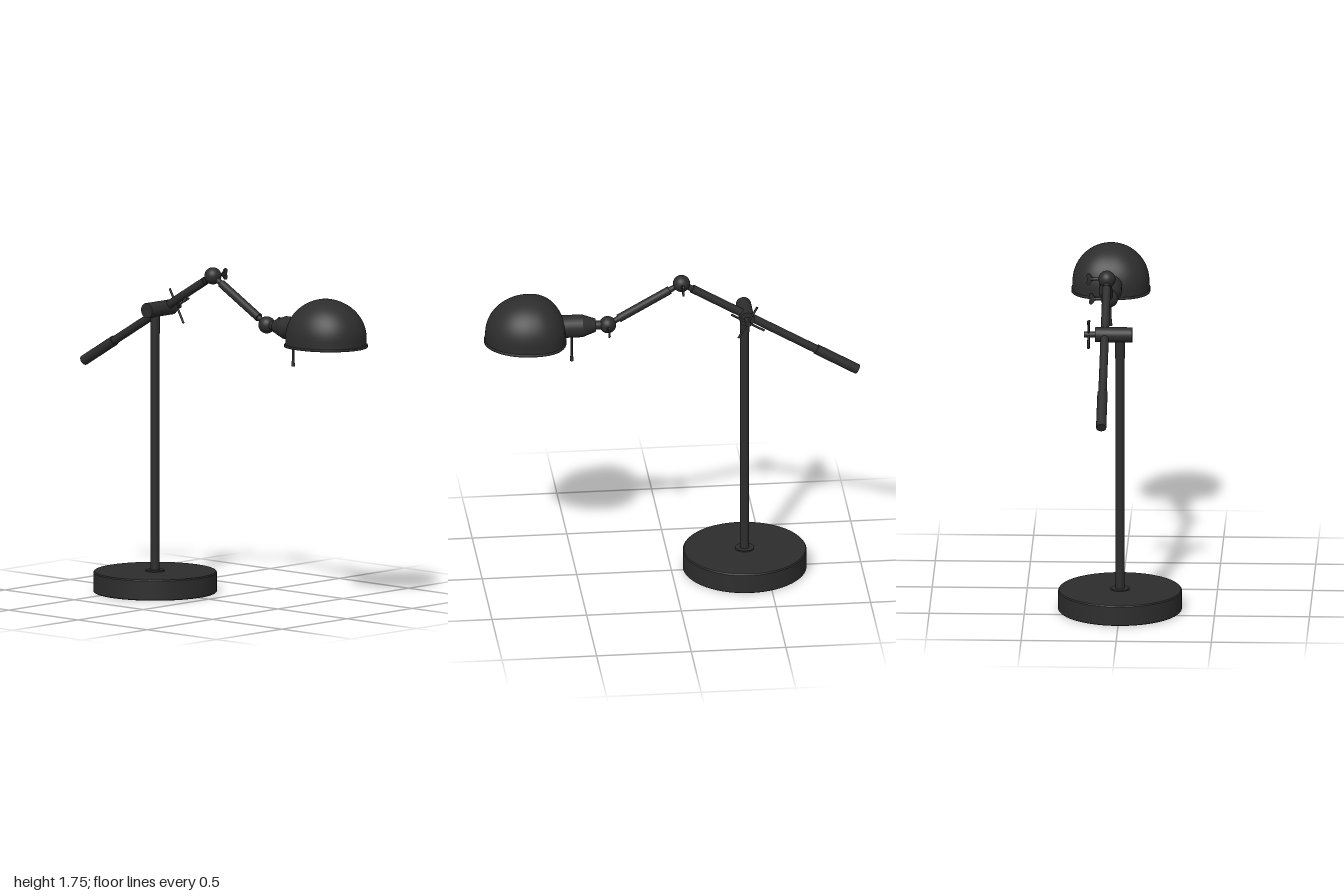
import * as THREE from 'three';
import { mergeVertices } from 'three/addons/utils/BufferGeometryUtils.js';

export function createModel() {
  const lamp = new THREE.Group();
  lamp.name = 'deskLamp';
  const material = (name, color) => {
    const m = new THREE.MeshStandardMaterial({ color });
    m.name = name;
    return m;
  };
  const black = material('blackMetal', 0x2d2d2d);
  const white = material('whiteLining', 0xd8d8e2);
  const glass = material('frostedGlass', 0xcccccc);
  const V = (x, y, z) => new THREE.Vector3(x, y, z);
  const UP = V(0, 1, 0);

  const add = (name, geometry, mat = black, parent = lamp) => {
    const mesh = new THREE.Mesh(geometry, mat);
    mesh.name = name;
    parent.add(mesh);
    return mesh;
  };
  // Round bar between two points
  const rod = (name, a, b, r0, r1 = r0, sides = 28) => {
    const mesh = add(name, new THREE.CylinderGeometry(r1, r0, a.distanceTo(b), sides));
    mesh.position.copy(a).add(b).multiplyScalar(0.5);
    mesh.quaternion.setFromUnitVectors(UP, b.clone().sub(a).normalize());
    return mesh;
  };
  const ball = (name, p, r, mat) => {
    const mesh = add(name, new THREE.SphereGeometry(r, 32, 24), mat);
    mesh.position.copy(p);
    return mesh;
  };

  // Base and pole
  const poleZ = -0.387;
  const baseProfile = [[0, 0], [0.32, 0], [0.325, 0.004], [0.325, 0.004], [0.325, 0.104],
    [0.325, 0.104], [0.32, 0.11], [0.32, 0.11], [0, 0.11]].map(p => new THREE.Vector2(...p));
  add('base', new THREE.LatheGeometry(baseProfile, 72)).position.z = poleZ;
  rod('poleFlange', V(0, 0.105, poleZ), V(0, 0.117, poleZ), 0.05);
  rod('pole', V(0, 0.11, poleZ), V(0, 1.375, poleZ), 0.024);
  rod('poleSleeve', V(0, 1.372, poleZ), V(0, 1.49, poleZ), 0.0255);

  // Clamp holding the arm, with a four-spoked handle
  const armX = 0.08;
  const clampY = 1.5;
  rod('clampTube', V(-0.065, clampY, poleZ), V(0.13, clampY, poleZ), 0.04);
  rod('clampStem', V(0.13, clampY, poleZ), V(0.188, clampY, poleZ), 0.015);
  for (const angle of [0.52, 0.52 + Math.PI / 2]) {
    const dy = Math.sin(angle) * 0.1, dz = Math.cos(angle) * 0.1;
    rod('clampSpoke', V(0.165, clampY - dy, poleZ - dz), V(0.165, clampY + dy, poleZ + dz), 0.006, 0.006, 12);
  }

  // Jointed arms
  const elbow = V(armX, 1.705, -0.045);
  const wrist = V(armX, 1.485, 0.345);
  const tail = V(armX, 1.16, -0.975);
  const along = (a, b, t) => a.clone().lerp(b, t);
  rod('rearArm', along(elbow, tail, 0.06), along(elbow, tail, 0.8), 0.022);
  rod('rearArmNeck', elbow, along(elbow, tail, 0.08), 0.016);
  rod('counterweight', along(elbow, tail, 0.765), tail, 0.027);
  rod('frontArm', along(elbow, wrist, 0.16), along(elbow, wrist, 0.85), 0.022);
  rod('frontArmNeck', elbow, wrist, 0.015);

  // Ball joints with wing screws
  const wing = new THREE.Shape();
  wing.moveTo(0, -0.009);
  wing.bezierCurveTo(0.015, -0.012, 0.012, -0.03, 0.026, -0.03);
  wing.bezierCurveTo(0.042, -0.03, 0.036, -0.008, 0.032, 0);
  wing.bezierCurveTo(0.036, 0.008, 0.042, 0.03, 0.026, 0.03);
  wing.bezierCurveTo(0.012, 0.03, 0.015, 0.012, 0, 0.009);
  for (const [name, p] of [['elbow', elbow], ['wrist', wrist]]) {
    ball(name + 'Joint', p, 0.045);
    rod(name + 'Screw', p, V(0.165, p.y, p.z), 0.008, 0.008, 16);
    const plate = add(name + 'Wing', new THREE.ExtrudeGeometry(wing, { depth: 0.01, bevelEnabled: false }));
    plate.position.set(0.15, p.y, p.z - 0.005);
  }

  // Bulb socket and hanging switch
  const y = wrist.y;
  rod('socketNeck', wrist, V(armX, y, 0.42), 0.024);
  rod('socketTaper', V(armX, y, 0.41), V(armX, y, 0.48), 0.035, 0.06);
  rod('socket', V(armX, y, 0.48), V(armX, y, 0.59), 0.06);
  rod('switchStem', V(armX, 1.44, 0.535), V(armX, 1.3, 0.535), 0.006, 0.006, 12);
  rod('switchTip', V(armX, 1.32, 0.535), V(armX, 1.285, 0.535), 0.007, 0.01, 12);

  // Shade: a lathed dome reshaped to an egg-like plan, blunter towards the socket
  const shadeBottom = 1.415;
  const reshape = (geometry, mat, name) => {
    const pos = geometry.attributes.position;
    for (let i = 0; i < pos.count; i++) {
      const x = pos.getX(i), z = pos.getZ(i), r = Math.hypot(x, z);
      if (r < 1e-6) continue;
      const c = Math.abs(x / r), s = Math.abs(z / r), n = z < 0 ? 2.5 : 2;
      const k = r / Math.pow(c ** n + s ** n, 1 / n);
      pos.setX(i, (x / r) * k * 0.202);
      pos.setZ(i, (z / r) * k * (z < 0 ? 0.19 : 0.23));
    }
    geometry.deleteAttribute('uv');
    geometry.deleteAttribute('normal');
    const smooth = mergeVertices(geometry, 1e-5);
    smooth.computeVertexNormals();
    add(name, smooth, mat).position.set(0.085, shadeBottom, 0.762);
  };
  const dome = (scale, height) => {
    const points = [new THREE.Vector2(scale, 0)];
    for (let i = 0; i <= 20; i++) {
      const a = (i / 20) * Math.PI / 2;
      points.push(new THREE.Vector2(i === 20 ? 0 : scale * Math.cos(a), 0.05 + height * Math.sin(a)));
    }
    return points;
  };
  reshape(new THREE.LatheGeometry(dome(1, 0.2), 72), black, 'shadeShell');
  reshape(new THREE.LatheGeometry(dome(0.965, 0.192).reverse(), 72), white, 'shadeLining');
  const rim = [[0.96, 0], [1.03, 0], [1.03, 0.012], [0.96, 0.012], [0.96, 0]].map(p => new THREE.Vector2(...p));
  reshape(new THREE.LatheGeometry(rim, 72), black, 'shadeRim');

  // Bulb
  ball('bulb', V(armX, y, 0.705), 0.075, glass);
  const bulbNeck = rod('bulbNeck', V(armX, y, 0.58), V(armX, y, 0.67), 0.035, 0.058);
  bulbNeck.material = glass;

  return lamp;
}
